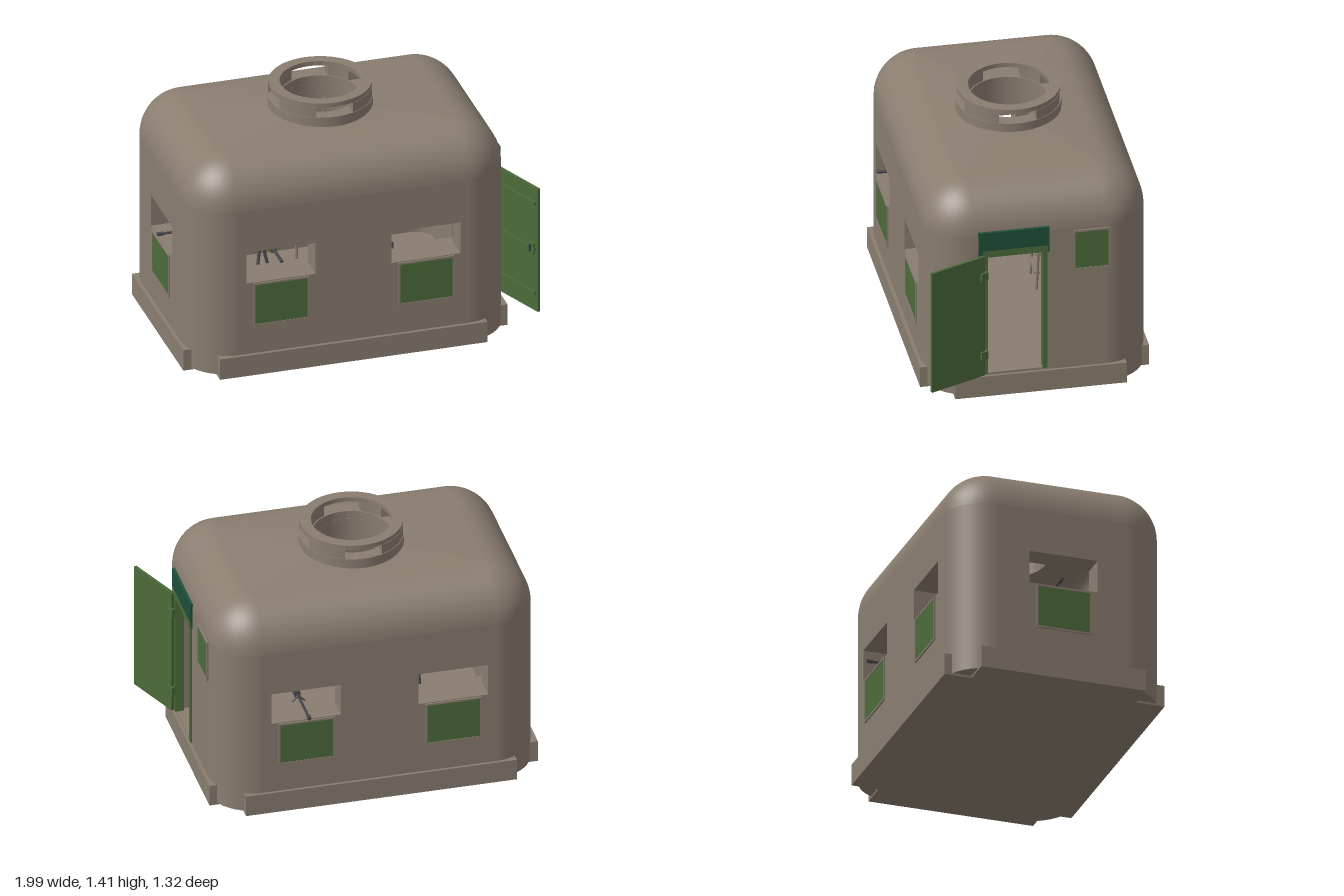
import * as THREE from 'three';
import { toCreasedNormals } from 'three/addons/utils/BufferGeometryUtils.js';

const mat = (name, color, side = THREE.FrontSide) => {
  const m = new THREE.MeshStandardMaterial({ color, side });
  m.name = name;
  return m;
};

export function createModel() {
  const concrete = mat('concrete', 0x8a7d70, THREE.DoubleSide);
  const green = mat('green paint', 0x4c6b3a);
  const darkGreen = mat('dark green paint', 0x1f4f3a);
  const metal = mat('gunmetal', 0x46474b);
  const tan = mat('tan', 0x8a7763);

  const root = new THREE.Group();
  root.name = 'bunker';

  const add = (parent, name, geo, m) => {
    const mesh = new THREE.Mesh(geo, m);
    mesh.name = name;
    parent.add(mesh);
    return mesh;
  };
  const box = (parent, name, m, w, h, d, x, y, z) => {
    const b = add(parent, name, new THREE.BoxGeometry(w, h, d), m);
    b.position.set(x, y, z);
    return b;
  };
  const rod = (parent, name, m, a, b, r, sides = 10) => {
    const p = new THREE.Vector3(...a), v = new THREE.Vector3(...b).sub(p);
    const c = add(parent, name, new THREE.CylinderGeometry(r, r, v.length(), sides), m);
    c.position.copy(p).addScaledVector(v, 0.5);
    c.quaternion.setFromUnitVectors(new THREE.Vector3(0, 1, 0), v.normalize());
    return c;
  };
  const group = (parent, name, x = 0, y = 0, z = 0, ry = 0) => {
    const g = new THREE.Group();
    g.name = name;
    g.position.set(x, y, z);
    g.rotation.y = ry;
    parent.add(g);
    return g;
  };
  const rect = (P, x0, y0, x1, y1) => {
    const p = new P();
    p.moveTo(x0, y0); p.lineTo(x1, y0); p.lineTo(x1, y1); p.lineTo(x0, y1); p.closePath();
    return p;
  };

  // Shell dimensions, about the centre of the body
  const HX = 0.91, HZ = 0.62, R = 0.255, T = 0.14, Y0 = 0.012, Y1 = 1.005, HATCH = 0.215;
  const shell = group(root, 'shell', -0.07, 0, 0.01);

  // Rounded rectangle as a loop of points
  const loop = (hx, hz, r) => {
    const pts = [];
    const corners = [[1, 1], [-1, 1], [-1, -1], [1, -1]];
    corners.forEach(([sx, sz], k) => {
      const cx = sx * (hx - r), cz = sz * (hz - r);
      for (let i = 0; i <= 10; i++) {
        const a = (k + i / 10) * Math.PI / 2;
        pts.push([cx + r * Math.cos(a), cz + r * Math.sin(a)]);
      }
      const [nx, nz] = corners[(k + 1) % 4], e = (k + 1) * Math.PI / 2;
      const s = pts[pts.length - 1];
      const t = [nx * (hx - r) + r * Math.cos(e), nz * (hz - r) + r * Math.sin(e)];
      for (let i = 1; i < 10; i++) pts.push([s[0] + (t[0] - s[0]) * i / 10, s[1] + (t[1] - s[1]) * i / 10]);
    });
    return pts;
  };

  // Domed roof, lofted from shrinking loops to the round hatch
  const roof = (name, hx, hz, r, crown) => {
    const pos = [], idx = [], rings = 12;
    let n = 0;
    const push = (pts, y) => { n = pts.length; pts.forEach(([x, z]) => pos.push(x, y, z)); };
    let last;
    for (let i = 0; i <= rings; i++) {
      const a = i / rings * Math.PI / 2, inset = (r - 0.002) * (1 - Math.cos(a));
      last = loop(hx - inset, hz - inset, r - inset);
      push(last, Y1 + r * Math.sin(a));
    }
    push(last.map(([x, z]) => {
      const a = Math.atan2(z, x);
      return [HATCH * Math.cos(a), HATCH * Math.sin(a)];
    }), Y1 + r + crown);
    for (let j = 0; j <= rings; j++) for (let i = 0; i < n; i++) {
      const a = j * n + i, b = j * n + (i + 1) % n;
      idx.push(a, a + n, b, b, a + n, b + n);
    }
    const g = new THREE.BufferGeometry();
    g.setAttribute('position', new THREE.Float32BufferAttribute(pos, 3));
    g.setIndex(idx);
    g.computeVertexNormals();
    add(shell, name, g, concrete);
  };
  roof('roof', HX, HZ, R, 0.022);
  roof('ceiling', HX - T, HZ - T, R - T, 0);

  // Rounded wall corners, outside and inside
  [[1, 1, 0], [1, -1, 1], [-1, -1, 2], [-1, 1, 3]].forEach(([sx, sz, k]) => {
    [R, R - T].forEach((r) => {
      const g = new THREE.CylinderGeometry(r, r, Y1 - Y0, 12, 1, true, k * Math.PI / 2, Math.PI / 2);
      add(shell, 'wallCorner', g, concrete).position.set(sx * (HX - R), (Y0 + Y1) / 2, sz * (HZ - R));
    });
  });

  // Framed shutter on a wall; u runs along the wall, local z = 0 is its outer face
  const shutter = (wall, u, y, w, h) => {
    const s = rect(THREE.Shape, -w / 2, -h / 2, w / 2, h / 2);
    const b = 0.011;
    s.holes.push(rect(THREE.Path, -w / 2 + b, -h / 2 + b, w / 2 - b, h / 2 - b));
    const f = add(wall, 'shutterFrame', new THREE.ExtrudeGeometry(s, { depth: 0.01, bevelEnabled: false }), concrete);
    f.position.set(u, y, -0.001);
    box(wall, 'shutter', green, w - 2 * b, h - 2 * b, 0.008, u, y, 0.002);
  };

  // Flat wall with firing slits, shutters and inner ledges
  const wall = (name, half, x, z, ry, slits, door) => {
    const g = group(shell, name, x, 0, z, ry);
    const s = rect(THREE.Shape, -half, Y0, half, Y1);
    slits.forEach((u) => {
      s.holes.push(rect(THREE.Path, u - 0.197, 0.56, u + 0.197, 0.75));
      shutter(g, u, 0.425, 0.32, 0.26);
      box(g, 'ledge', concrete, 0.42, 0.035, 0.06, u, 0.541, -T - 0.03);
    });
    if (door) s.holes.push(rect(THREE.Path, ...door));
    const w = add(g, name + 'Panel', new THREE.ExtrudeGeometry(s, { depth: T, bevelEnabled: false }), concrete);
    w.position.z = -T;
    return g;
  };
  wall('frontWall', HX - R, 0, HZ, 0, [-0.415, 0.415]);
  wall('backWall', HX - R, 0, -HZ, Math.PI, [-0.415, 0.415]);
  wall('rightWall', HZ - R, -HX, 0, -Math.PI / 2, [0.005]);
  const entry = wall('doorWall', HZ - R, HX, 0, Math.PI / 2, [], [-0.32, 0.14, 0.04, 0.9]);
  shutter(entry, 0.288, 0.867, 0.206, 0.25);

  // Door frame and canopy
  box(entry, 'doorJamb', green, 0.027, 0.74, 0.05, 0.027, 0.51, -0.015);
  box(entry, 'doorJamb', green, 0.027, 0.74, 0.05, -0.307, 0.51, -0.015);
  box(entry, 'doorHeader', green, 0.36, 0.04, 0.05, -0.14, 0.9, -0.01);
  box(entry, 'canopy', darkGreen, 0.395, 0.115, 0.025, -0.147, 0.977, 0.002);
  box(entry, 'canopyBack', darkGreen, 0.395, 0.05, 0.01, -0.147, 0.9, 0.002);

  // Floor and the cross-shaped plinth
  const floorShape = new THREE.Shape(loop(HX - 0.002, HZ - 0.002, R).map(([x, z]) => new THREE.Vector2(x, z)));
  const floorGeo = new THREE.ExtrudeGeometry(floorShape, { depth: 0.127, bevelEnabled: false });
  floorGeo.rotateX(-Math.PI / 2);
  add(shell, 'floor', floorGeo, concrete).position.y = Y0;
  box(root, 'plinthLong', concrete, 1.53, 0.125, 1.275, -0.075, 0.0625, 0.0115);
  box(root, 'plinthCross', concrete, 1.856, 0.125, 0.955, -0.072, 0.063, 0.008);

  // Cupola: solid base ring, four posts, top ring
  const cupola = group(shell, 'cupola');
  const slab = (name, shape, y, h) => {
    const g = new THREE.ExtrudeGeometry(shape, { depth: h, bevelEnabled: false, curveSegments: 40 });
    g.rotateX(-Math.PI / 2);
    return Object.assign(add(cupola, name, toCreasedNormals(g, 0.5), concrete)).translateY(y);
  };
  const ring = (ro, ri) => {
    const s = new THREE.Shape().absarc(0, 0, ro, 0, Math.PI * 2);
    s.holes.push(new THREE.Path().absarc(0, 0, ri, 0, Math.PI * 2, true));
    return s;
  };
  slab('cupolaBase', ring(0.289, HATCH), 1.12, 0.21);
  slab('cupolaTop', ring(0.283, 0.222), 1.388, 0.026);
  for (let k = 0; k < 4; k++) {
    const q = k * Math.PI / 2, o = Math.asin(0.105 / 0.285), i = Math.asin(0.105 / 0.222);
    const s = new THREE.Shape().absarc(0, 0, 0.285, q + o, q + Math.PI / 2 - o, false);
    s.absarc(0, 0, 0.222, q + Math.PI / 2 - i, q + i, true);
    slab('cupolaPost', s, 1.33, 0.058);
  }

  // Ladder under the hatch
  const ladder = group(root, 'ladder');
  [-0.16, 0.01].forEach((x) => rod(ladder, 'rail', concrete, [x, 0.14, -0.13], [x, 1.2, -0.18], 0.008));
  for (let i = 0; i < 9; i++) {
    box(ladder, 'rung', concrete, 0.17, 0.012, 0.03, -0.075, 0.24 + i * 0.115, -0.135 - i * 0.005);
  }

  // Open door with straps, latch and hinges
  const door = group(root, 'door', 0.857, 0, 0.325, -1.185);
  box(door, 'doorPanel', green, 0.345, 0.755, 0.016, 0.172, 0.517, 0);
  [0.8, 0.52, 0.25].forEach((y) => box(door, 'strap', green, 0.32, 0.018, 0.012, 0.168, y, 0.012));
  box(door, 'latchPlate', green, 0.05, 0.07, 0.014, 0.295, 0.52, 0.013);
  rod(door, 'latch', darkGreen, [0.295, 0.5, 0.024], [0.295, 0.54, 0.024], 0.007);
  [0.77, 0.27].forEach((y) => box(door, 'hinge', green, 0.045, 0.048, 0.022, 0.005, y, -0.008));

  // Heavy gun on a tripod behind the front slit
  const heavy = group(root, 'heavyGun', -0.49, 0, 0);
  rod(heavy, 'barrel', metal, [0, 0.68, 0.25], [0, 0.68, 0.66], 0.009);
  rod(heavy, 'barrelJacket', green, [0, 0.68, 0.3], [0, 0.68, 0.5], 0.026, 16);
  box(heavy, 'receiver', metal, 0.06, 0.07, 0.2, 0, 0.672, 0.225);
  box(heavy, 'ammoBox', green, 0.05, 0.07, 0.115, 0.07, 0.62, 0.272);
  rod(heavy, 'grip', tan, [0.03, 0.65, 0.107], [0.06, 0.695, 0.107], 0.018);
  [[0, 0.125], [-0.09, 0.37], [0.09, 0.37]].forEach(([x, z]) => rod(heavy, 'tripodLeg', metal, [0, 0.64, 0.27], [x, 0.14, z], 0.009));

  // Light guns resting on the ledges; each points along its local +z
  const lightGun = (x, z, ry, reach, y) => {
    const g = group(root, 'lightGun', x, y, z, ry);
    rod(g, 'barrel', metal, [0, 0, 0.1], [0, 0, reach], 0.007);
    rod(g, 'muzzle', metal, [0, 0, reach - 0.035], [0, 0, reach], 0.011);
    box(g, 'receiver', metal, 0.03, 0.035, 0.2, 0, 0, 0.05);
    box(g, 'sight', metal, 0.01, 0.07, 0.012, 0, 0.04, 0);
    box(g, 'stock', metal, 0.018, 0.06, 0.03, 0, -0.005, -0.05);
    [-1, 1].forEach((s) => rod(g, 'bipodLeg', metal, [0, 0, 0.16], [s * 0.035, 0.562 - y, 0.17], 0.005));
  };
  lightGun(-0.43, 0, -Math.PI / 2, 0.57, 0.6);
  lightGun(0.34, -0.25, Math.PI, 0.41, 0.592);

  // Loose rounds on the front ledge and a stack of ribbed canisters
  [0.155, 0.18, 0.205].forEach((x) => rod(root, 'round', metal, [x, 0.558, 0.46], [x, 0.595, 0.46], 0.006));
  const ribs = [new THREE.Vector2(0, 0)];
  for (let i = 0; i < 3; i++) {
    [[0.05, 0], [0.05, 0.015], [0.065, 0.02], [0.065, 0.032], [0.045, 0.04], [0.045, 0.055]]
      .forEach(([r, y]) => ribs.push(new THREE.Vector2(r, y + i * 0.057)));
  }
  ribs.push(new THREE.Vector2(0, 0.169));
  add(root, 'canisterStack', toCreasedNormals(new THREE.LatheGeometry(ribs, 20), 0.5), tan).position.set(-0.25, 0.139, 0.25);

  return root;
}
